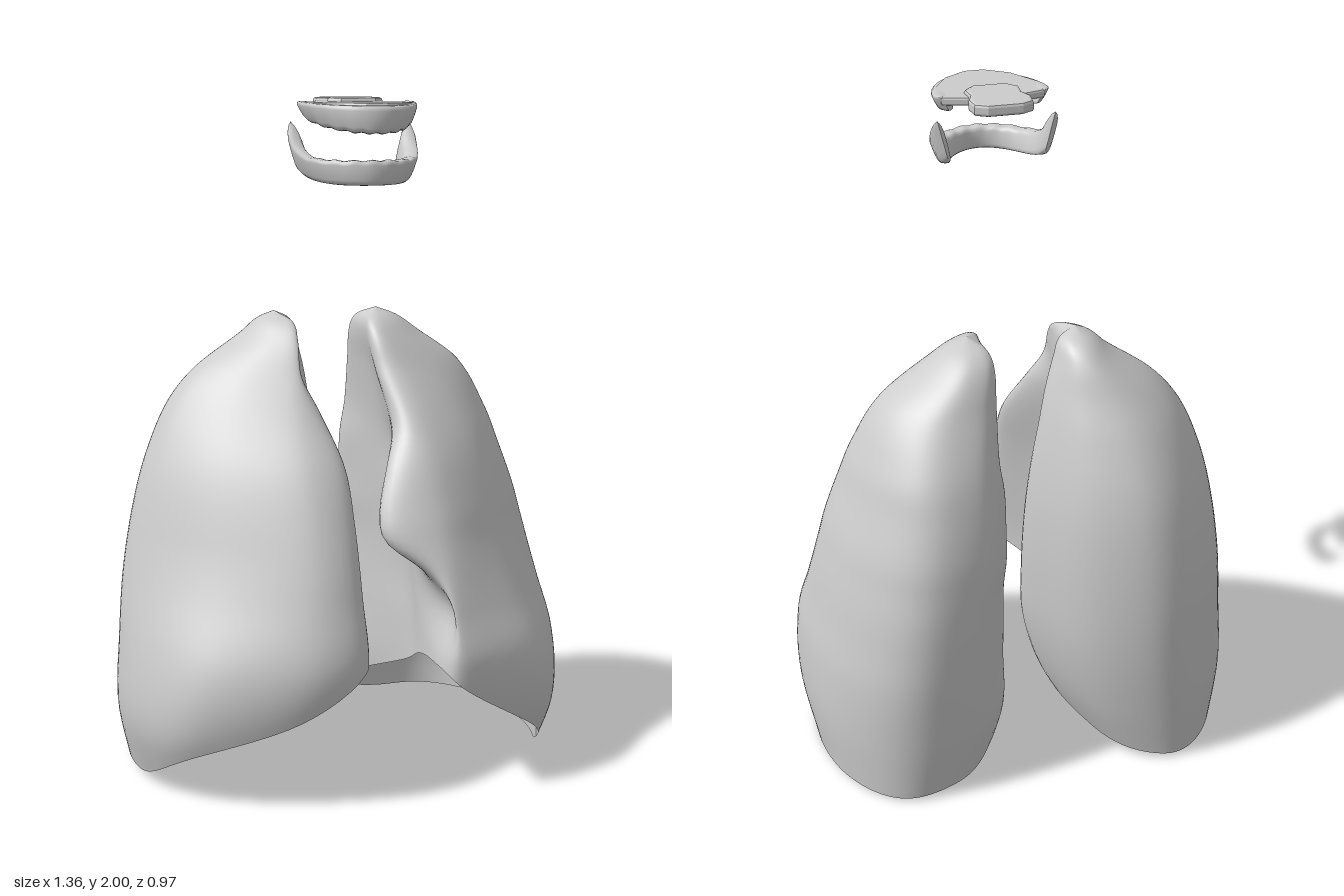
import * as THREE from 'three';

const TOP = 1.37;

// Surface from a function of (u, v); u wraps around, v runs open.
function grid(nu, nv, fn, flip) {
  const pos = [], idx = [];
  for (let j = 0; j <= nv; j++)
    for (let i = 0; i < nu; i++) pos.push(...fn(i / nu, j / nv));
  for (let j = 0; j < nv; j++)
    for (let i = 0; i < nu; i++) {
      const k = (i + 1) % nu;
      const a = j * nu + i, b = j * nu + k, c = b + nu, d = a + nu;
      if (flip) idx.push(a, c, b, a, d, c);
      else idx.push(a, b, c, a, c, d);
    }
  const g = new THREE.BufferGeometry();
  g.setAttribute('position', new THREE.Float32BufferAttribute(pos, 3));
  g.setIndex(idx);
  g.computeVertexNormals();
  return g;
}

// Smooth interpolation between rows whose first entry is the height.
function sample(rows, y) {
  let i = 0;
  while (i < rows.length - 2 && y > rows[i + 1][0]) i++;
  const p = rows[Math.max(i - 1, 0)], a = rows[i], b = rows[i + 1];
  const n = rows[Math.min(i + 2, rows.length - 1)];
  const h = b[0] - a[0], t = THREE.MathUtils.clamp((y - a[0]) / h, 0, 1);
  return a.map((_, k) => {
    const ma = (b[k] - p[k]) / (b[0] - p[0]) * h, mb = (n[k] - a[k]) / (n[0] - a[0]) * h;
    return a[k] * (1 + 2 * t) * (1 - t) ** 2 + ma * t * (1 - t) ** 2
      + b[k] * t * t * (3 - 2 * t) + mb * t * t * (t - 1);
  });
}

// Height, outer x, inner x, hollow x, front edge x, back z, front z
const rightRows = [
  [0, .64, .18, .24, .15, -.44, .32],
  [.2, .68, .07, .18, .05, -.465, .44],
  [.4, .672, .015, .16, .02, -.48, .485],
  [.6, .65, .005, .16, .025, -.48, .43],
  [.8, .61, .01, .16, .03, -.46, .355],
  [.95, .565, .025, .15, .04, -.425, .28],
  [1.1, .495, .05, .14, .09, -.36, .17],
  [1.2, .41, .07, .13, .13, -.3, .1],
  [1.3, .27, .1, .125, .125, -.235, .035],
  [1.345, .22, .12, .135, .13, -.18, -.02],
  [TOP, .17, .17, .17, .17, -.1, -.1],
];
const leftRows = [
  [0, .64, .16, .24, .25, -.44, .32],
  [.2, .675, .1, .21, .2, -.465, .44],
  [.4, .67, .1, .21, .2, -.48, .485],
  [.54, .642, .1, .21, .24, -.48, .45],
  [.65, .62, .1, .2, .17, -.475, .41],
  [.74, .6, .09, .19, .06, -.465, .375],
  [.82, .58, .09, .18, .05, -.455, .345],
  [.95, .535, .09, .17, .09, -.42, .285],
  [1.05, .5, .1, .15, .13, -.385, .215],
  [1.2, .415, .095, .12, .11, -.3, .1],
  [1.3, .28, .09, .1, .1, -.235, .035],
  [1.345, .215, .105, .11, .11, -.18, -.02],
  [TOP, .15, .15, .15, .15, -.1, -.1],
];
// Height of the lower rim, from the front edge round the outside and back
const rightRim = [.41, .27, .15, .04, .025, .02, .015, .015, .03, .06, .14, .27, .34];
const leftRim = [.38, .32, .14, .01, 0, .01, .01, .015, .03, .07, .15, .27, .35];

// Back inner corner and hollow of each lung, as [share of width, share of depth]
const rightInner = [[.24, -.88], [.08, -.6], [0, -.22]];
const leftInner = [[.2, -.91], [.04, -.72], [0, -.5]];

const ring = pts => new THREE.CatmullRomCurve3(pts, true, 'catmullrom', 0.5);

function section(rows, inner, y) {
  const [, xo, xi, xh, xf, zb, zf] = sample(rows, y);
  const mid = (zb + zf) / 2, half = (zf - zb) / 2;
  const P = (x, b) => new THREE.Vector3(x, 0, mid + b * half);
  const A = (a, b) => P(xi + a * (xo - xi), b);
  // The outer front corner recedes above the base
  const t = THREE.MathUtils.smoothstep(y, .15, .75);
  return ring([
    P(xf, .86), A(.3 - .05 * t, 1), A(.74 - .12 * t, .83 - .1 * t), A(.94 - .05 * t, .48 - .14 * t),
    A(1, .02 - .04 * t), A(.92, -.5), A(.73, -.86), A(.5, -1),
    ...inner.map(p => A(...p)), P(xh, .05), P(xh, .4),
  ]);
}

function lung(name, rows, inner, rimHeights, side, mat) {
  const g = new THREE.Group();
  g.name = name;
  const rim = ring(rimHeights.map(h => new THREE.Vector3(0, h, 0)));
  const at = (u, v) => {
    const r = Math.max(rim.getPoint(u).y, 0), y = r + (TOP - r) * v;
    const p = section(rows, inner, y).getPoint(u);
    return [side * p.x, y, p.z];
  };
  // Outer wall, with rows packed towards the rounded apex
  const wall = new THREE.Mesh(
    grid(104, 56, (u, v) => at(u, Math.sin(v * Math.PI / 2)), side < 0), mat);
  wall.name = name + 'Wall';
  // Hollow domed underside, steep near the rim
  const base = new THREE.Mesh(grid(104, 18, (u, v) => {
    const [x, y, z] = at(u, 0), a = v * Math.PI / 2;
    const k = Math.sin(a) ** .85, m = 1 - Math.cos(a) ** .85;
    return [x + (side * .37 - x) * m, y + (.47 - y) * k, z + (.02 - z) * m];
  }, side > 0), mat);
  base.name = name + 'Underside';
  g.add(wall, base);
  return g;
}

// Horseshoe with a rounded section, narrower below, pinched shut at both ends
function arch(name, o, mat) {
  const geo = grid(16, 72, (u, v) => {
    const s = v * 2 - 1, th = s * Math.PI / 2, q = u * Math.PI * 2;
    const end = Math.sqrt(Math.min(1, (1 - Math.abs(s)) * 14));
    const lo = o.low(s), hi = o.high(s);
    const round = c => Math.sign(c) * Math.abs(c) ** .55;
    const off = round(Math.cos(q)) * o.thick / 2 * end, up = round(Math.sin(q));
    const y = (lo + hi) / 2 + up * (hi - lo) / 2 * (.8 + .2 * end);
    return [(o.x - o.thick / 2 + off) * Math.sin(th) * (.92 + .08 * up), y,
      o.z + (o.depth - o.thick / 2 + off) * Math.cos(th)];
  }, true);
  const m = new THREE.Mesh(geo, mat);
  m.name = name;
  return m;
}

// Flat bevelled plate from half an outline of [x, z], mirrored across x
function plate(name, half, top, thick, mat) {
  const pts = [...half, ...half.slice().reverse().map(([x, z]) => [-x, z])];
  const bevel = thick * .25;
  const geo = new THREE.ExtrudeGeometry(
    new THREE.Shape(pts.map(p => new THREE.Vector2(...p))),
    { depth: thick - 2 * bevel, bevelSize: bevel, bevelThickness: bevel, bevelOffset: -bevel, bevelSegments: 2 });
  geo.rotateX(Math.PI / 2).translate(0, top - bevel, 0);
  const m = new THREE.Mesh(geo, mat);
  m.name = name;
  return m;
}

export function createModel() {
  const model = new THREE.Group();
  const grey = new THREE.MeshStandardMaterial({ color: 0xcccccc });
  grey.name = 'light grey';

  model.add(lung('rightLung', rightRows, rightInner, rightRim, -1, grey));
  model.add(lung('leftLung', leftRows, leftInner, leftRim, 1, grey));

  // Jaws, with a faint tooth ripple along the biting edges
  const ripple = s => .002 * Math.cos(s * 34);
  const jaws = new THREE.Group();
  jaws.name = 'jaws';
  jaws.add(arch('lowerJaw', {
    x: .195, z: .13, depth: .255, thick: .045,
    low: s => 1.765 + .045 * s ** 4,
    high: s => 1.833 + .115 * s ** 6 + ripple(s) * (1 - s * s),
  }, grey));
  jaws.add(arch('upperJaw', {
    x: .178, z: .17, depth: .25, thick: .05,
    low: s => 1.905 + .04 * s * s + ripple(s),
    high: s => 1.98 + .012 * s * s,
  }, grey));
  jaws.add(plate('hardPalate',
    [[.03, .405], [.1, .355], [.16, .25], [.15, .17], [.08, .15]], 1.988, .025, grey));
  jaws.add(plate('softPalate',
    [[.05, .225], [.08, .19], [.075, .14], [.09, .1], [.085, .05], [.05, .03]], 2, .035, grey));
  model.add(jaws);
  return model;
}
